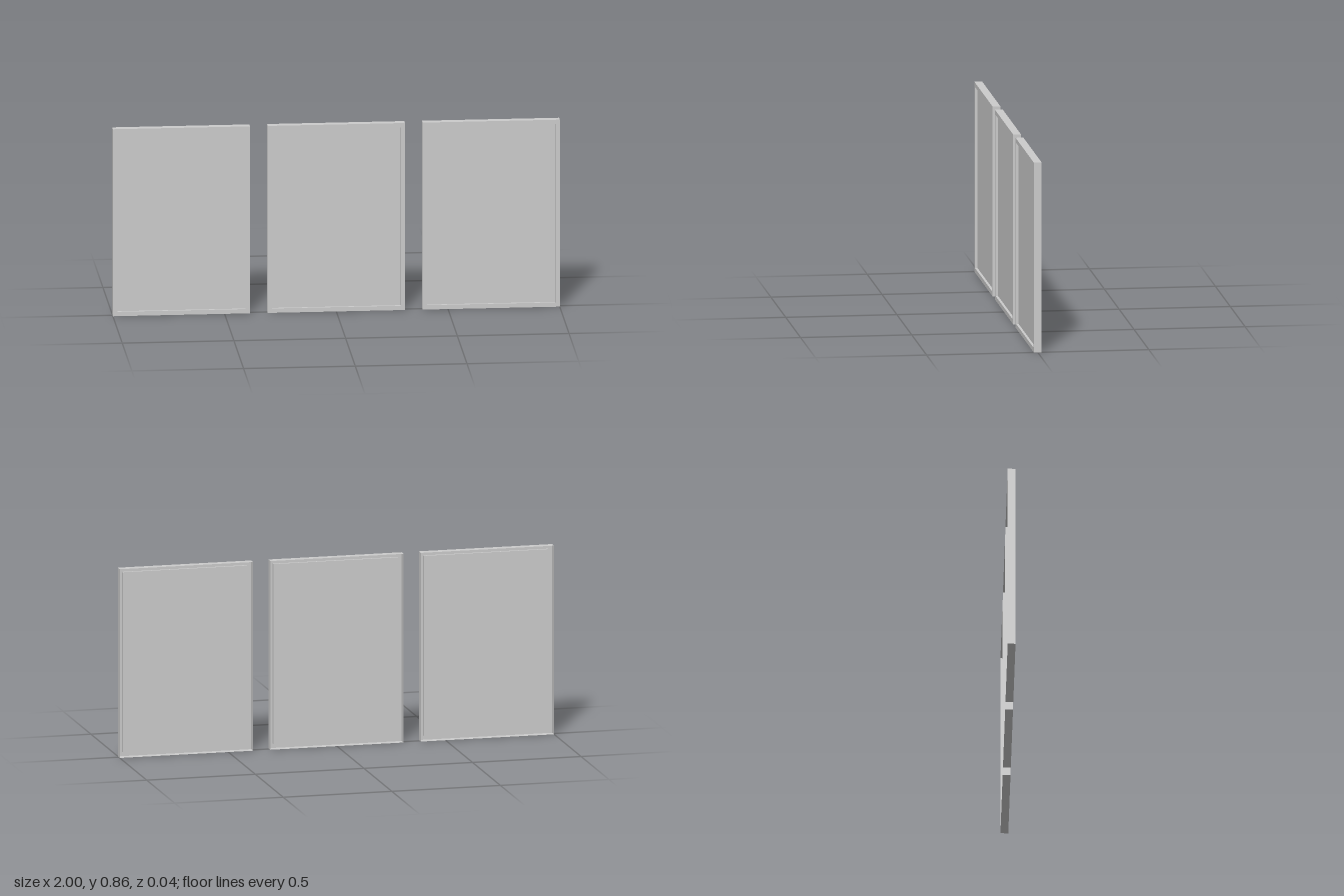
import * as THREE from 'three';

const WIDTH = 0.614, HEIGHT = 0.861, DEPTH = 0.035;
const LIP = 0.02, RECESS = 0.011, SPACING = 0.693;

const material = new THREE.MeshStandardMaterial({ color: 0xcccccc, side: THREE.DoubleSide });

// Rectangle corners, counter-clockwise seen from the front, shrunk by inset
function corners(inset, z) {
  const x = WIDTH / 2 - inset, y0 = inset, y1 = HEIGHT - inset;
  return [[-x, y0, z], [x, y0, z], [x, y1, z], [-x, y1, z]];
}

// Flat-sided band joining successive rectangular loops
function bandGeometry(loops) {
  const points = [];
  for (let l = 0; l < loops.length - 1; l++) {
    for (let i = 0; i < 4; i++) {
      const j = (i + 1) % 4;
      const a = loops[l][i], b = loops[l][j], c = loops[l + 1][j], d = loops[l + 1][i];
      points.push(...a, ...b, ...c, ...a, ...c, ...d);
    }
  }
  const geometry = new THREE.BufferGeometry();
  geometry.setAttribute('position', new THREE.Float32BufferAttribute(points, 3));
  geometry.computeVertexNormals();
  return geometry;
}

function createPicture(name) {
  const group = new THREE.Group();
  group.name = name;

  // Open-backed frame: outer walls, front lip, short inner walls
  const front = DEPTH / 2;
  const frame = new THREE.Mesh(bandGeometry([
    corners(0, -front),
    corners(0, front),
    corners(LIP, front),
    corners(LIP, front - RECESS),
  ]), material);
  frame.name = 'frame';

  // Recessed panel
  const panel = new THREE.Mesh(
    new THREE.PlaneGeometry(WIDTH - 2 * LIP, HEIGHT - 2 * LIP), material);
  panel.name = 'panel';
  panel.position.set(0, HEIGHT / 2, front - RECESS);

  group.add(frame, panel);
  return group;
}

export function createModel() {
  const model = new THREE.Group();
  model.name = 'framedPanels';
  ['rightPicture', 'middlePicture', 'leftPicture'].forEach((name, i) => {
    const picture = createPicture(name);
    picture.position.x = (i - 1) * SPACING;
    model.add(picture);
  });
  return model;
}
